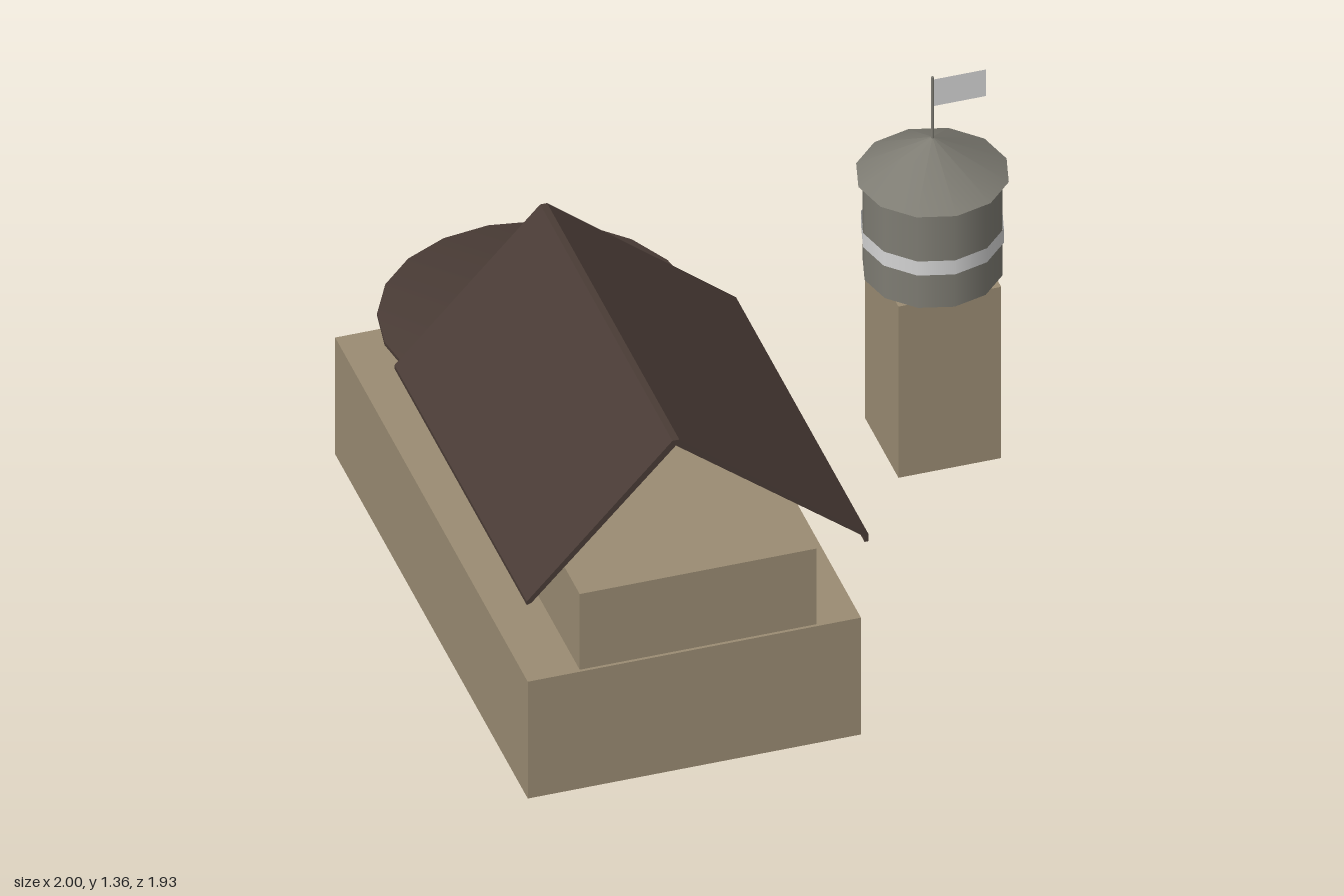
import * as THREE from 'three';
import { toCreasedNormals } from 'three/addons/utils/BufferGeometryUtils.js';

const material = (name, color, side = THREE.FrontSide) => {
  const m = new THREE.MeshStandardMaterial({ color, side });
  m.name = name;
  return m;
};

export function createModel() {
  const model = new THREE.Group();
  model.name = 'houseWithTower';
  const sand = material('sandWall', 0x9b8c73);
  const brown = material('brownRoof', 0x4a3c36, THREE.DoubleSide);
  const grey = material('greyMetal', 0x7e7c73);
  const pale = material('paleTrim', 0xd4d4d4, THREE.DoubleSide);

  const add = (name, geometry, mat, x = 0, y = 0, z = 0, parent = model) => {
    const mesh = new THREE.Mesh(geometry, mat);
    mesh.name = name;
    mesh.position.set(x, y, z);
    parent.add(mesh);
    return mesh;
  };
  // Box given by its limits on each axis
  const block = (name, [x0, x1], [y0, y1], [z0, z1]) =>
    add(name, new THREE.BoxGeometry(x1 - x0, y1 - y0, z1 - z0), sand,
      (x0 + x1) / 2, (y0 + y1) / 2, (z0 + z1) / 2);

  // House walls
  block('lowerStorey', [-1, 0.07], [0, 0.44], [-0.94, 0.945]);
  block('upperStorey', [-0.83, -0.07], [0.44, 0.725], [-0.51, 0.935]);

  // Gable roof: a thin folded sheet with a lip along the right eave
  const fold = new THREE.Shape([
    [-1, 0.722], [-0.985, 0.727], [-0.521, 1.215], [0.085, 0.735], [0.085, 0.715],
    [0.097, 0.715], [0.097, 0.743], [-0.51, 1.235], [-0.532, 1.235], [-1, 0.735],
  ].map(([x, y]) => new THREE.Vector2(x, y)));
  add('gableRoof', new THREE.ExtrudeGeometry(fold, { depth: 1.295, bevelEnabled: false }),
    brown, 0, 0, -0.36);

  // Rounded rear roof: shallow cone shell, open towards the front
  const shell = [[0, 0.105], [0.492, -0.012], [0.492, 0], [0, 0.115]]
    .map(([r, y]) => new THREE.Vector2(r, y));
  const open = THREE.MathUtils.degToRad(55);
  const rear = new THREE.LatheGeometry(shell, 14, open, Math.PI * 2 - open * 2);
  add('rearRoof', toCreasedNormals(rear, 0.5), brown, -0.495, 0.72, -0.46 - 0.03)
    .rotation.z = -0.012;

  // Tower with tank, band, cap and flag
  block('towerShaft', [0.595, 0.925], [0, 0.645], [-0.615, -0.288]);
  const tower = new THREE.Group();
  tower.name = 'towerTop';
  tower.position.set(0.758, 0, -0.452);
  model.add(tower);
  const drum = (name, rTop, rBottom, y0, y1, mat, open = false, sides = 12) =>
    add(name, new THREE.CylinderGeometry(rTop, rBottom, y1 - y0, sides, 1, open), mat,
      0, (y0 + y1) / 2, 0, tower);
  drum('tank', 0.218, 0.218, 0.645, 1.0, grey);
  drum('tankBand', 0.223, 0.223, 0.77, 0.823, pale, true);
  drum('tankCap', 0, 0.238, 1.0, 1.135, grey);
  drum('flagPole', 0.005, 0.005, 1.12, 1.36, grey, false, 8);
  add('flag', new THREE.PlaneGeometry(0.17, 0.1), pale, 0.087, 1.3, 0, tower);

  return model;
}
